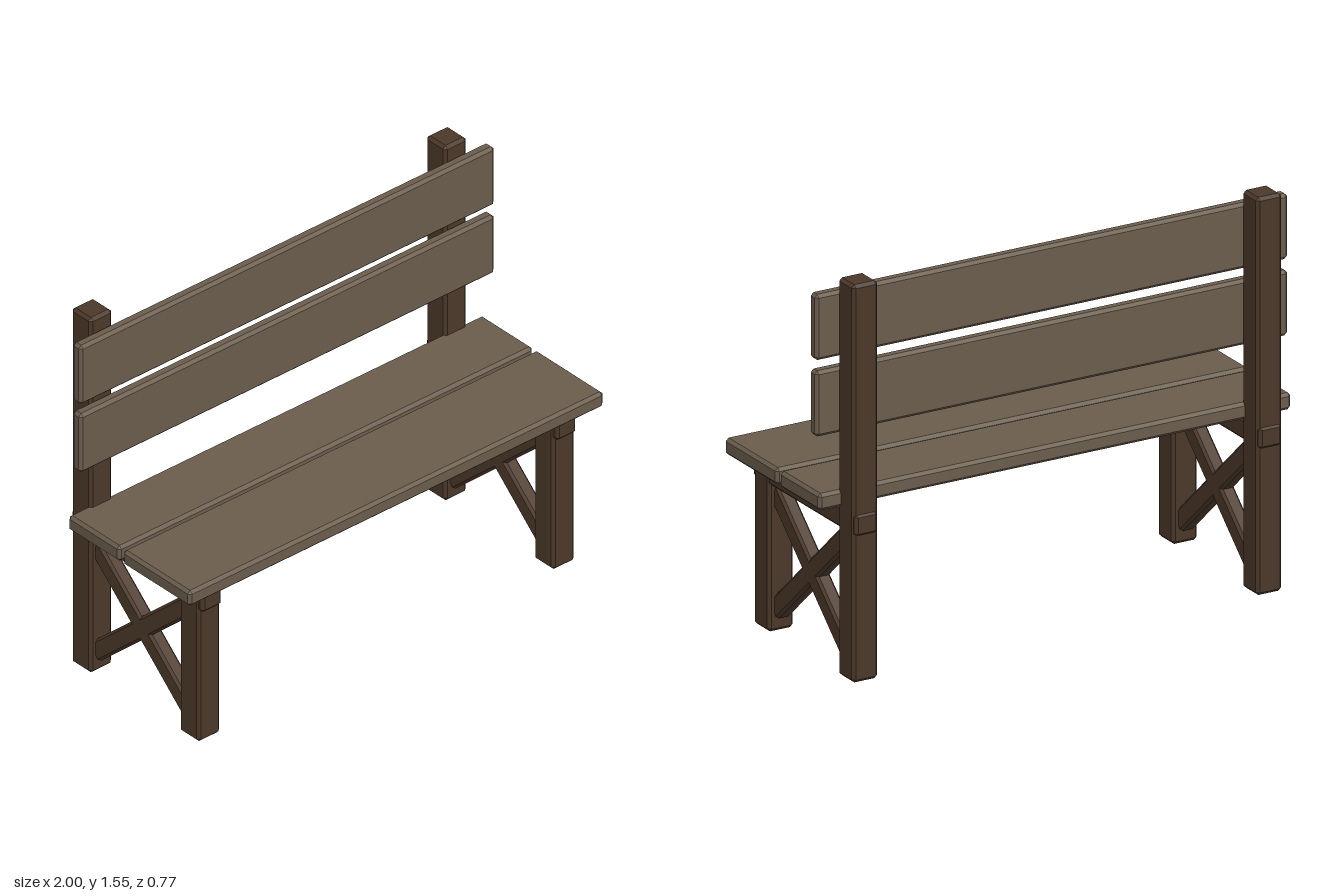
import * as THREE from 'three';
import { ConvexGeometry } from 'three/addons/geometries/ConvexGeometry.js';

const plankWood = new THREE.MeshStandardMaterial({ color: 0x6a5c4c });
plankWood.name = 'plank wood';
const frameWood = new THREE.MeshStandardMaterial({ color: 0x4b3829 });
frameWood.name = 'frame wood';

// Box with flat chamfers along every edge
function chamferBox(w, h, d, c) {
  const points = [];
  for (const x of [-1, 1]) for (const y of [-1, 1]) for (const z of [-1, 1]) {
    const X = x * w / 2, Y = y * h / 2, Z = z * d / 2;
    points.push(
      new THREE.Vector3(X, Y - y * c, Z - z * c),
      new THREE.Vector3(X - x * c, Y, Z - z * c),
      new THREE.Vector3(X - x * c, Y - y * c, Z));
  }
  return new ConvexGeometry(points);
}

// Beam filling the given ranges on each axis
function beam(name, material, [x0, x1], [y0, y1], [z0, z1], c = 0.012) {
  const mesh = new THREE.Mesh(chamferBox(x1 - x0, y1 - y0, z1 - z0, c), material);
  mesh.position.set((x0 + x1) / 2, (y0 + y1) / 2, (z0 + z1) / 2);
  mesh.name = name;
  return mesh;
}

// Trestle: front leg, tall back post, seat rail and crossed braces
function sideFrame(name, x) {
  const frame = new THREE.Group();
  frame.name = name;
  frame.position.x = x;
  const across = [-0.054, 0.054];
  frame.add(
    beam('frontLeg', frameWood, across, [0, 0.657], [0.22, 0.33]),
    beam('backPost', frameWood, across, [0, 1.55], [-0.377, -0.267]),
    beam('seatRail', frameWood, [-0.049, 0.049], [0.57, 0.658], [-0.385, 0.345]));
  for (const side of [-1, 1]) {
    const brace = beam('crossBrace', frameWood, [-0.03, 0.03], [-0.039, 0.039], [-0.35, 0.35], 0.01);
    brace.position.set(0, 0.312, -0.022);
    brace.rotation.x = side * THREE.MathUtils.degToRad(42);
    frame.add(brace);
  }
  return frame;
}

export function createModel() {
  const bench = new THREE.Group();
  bench.name = 'bench';
  bench.add(sideFrame('leftFrame', 0.855), sideFrame('rightFrame', -0.855));

  // Seat planks and backrest slats
  const along = [-1, 1];
  bench.add(
    beam('frontSeatPlank', plankWood, along, [0.66, 0.726], [0.012, 0.385]),
    beam('backSeatPlank', plankWood, along, [0.66, 0.726], [-0.29, -0.005]),
    beam('lowerBackSlat', plankWood, along, [0.94, 1.196], [-0.267, -0.217]),
    beam('upperBackSlat', plankWood, along, [1.238, 1.494], [-0.267, -0.217]));
  return bench;
}
